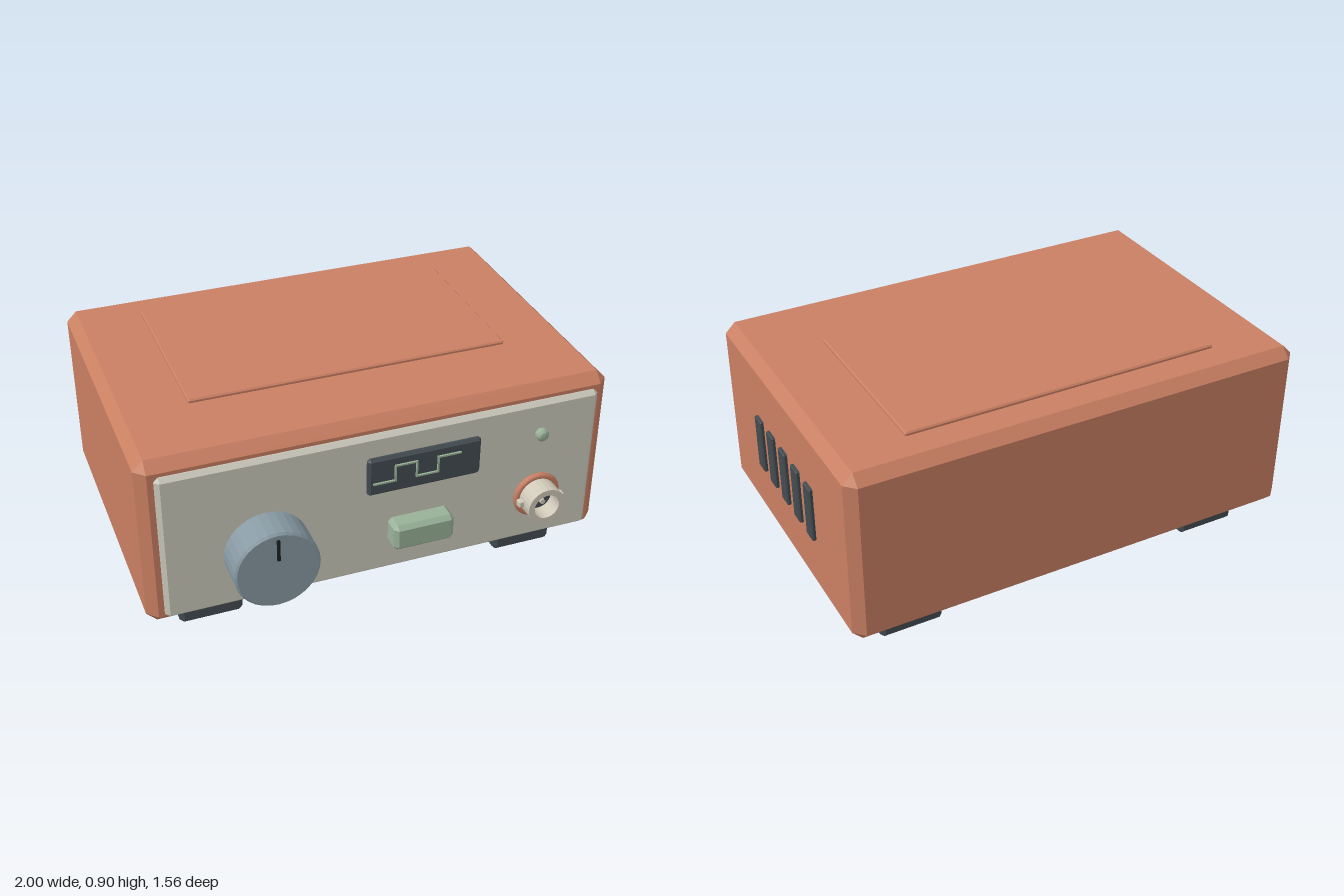
import * as THREE from 'three';
import { ConvexGeometry } from 'three/addons/geometries/ConvexGeometry.js';

const mat = (name, color, extra = {}) => {
  const m = new THREE.MeshStandardMaterial({ color, ...extra });
  m.name = name;
  return m;
};

// Box between two corners with every edge cut by a single chamfer c
function chamferBox([x0, y0, z0], [x1, y1, z1], c) {
  const pts = [];
  for (const [x, sx] of [[x0, 1], [x1, -1]])
    for (const [y, sy] of [[y0, 1], [y1, -1]])
      for (const [z, sz] of [[z0, 1], [z1, -1]]) {
        pts.push(new THREE.Vector3(x, y + sy * c, z + sz * c));
        pts.push(new THREE.Vector3(x + sx * c, y, z + sz * c));
        pts.push(new THREE.Vector3(x + sx * c, y + sy * c, z));
      }
  return new ConvexGeometry(pts);
}

// Faceted turned part along z; profile is a list of [radius, z]
function turned(profile, x, y, sides) {
  const g = new THREE.LatheGeometry(profile.map(([r, z]) => new THREE.Vector2(r, z)), sides);
  const flat = g.rotateX(Math.PI / 2).translate(x, y, 0).toNonIndexed();
  flat.computeVertexNormals();
  return flat;
}

export function createModel() {
  const model = new THREE.Group();
  model.name = 'benchInstrument';
  const copper = mat('copper', 0xc97f62);
  const cream = mat('cream', 0xcbc9bb);
  const dark = mat('charcoal', 0x434c51);
  const blue = mat('blueGrey', 0x8799a3);
  const green = mat('paleGreen', 0x99b198);
  const black = mat('black', 0x1c2023);
  const metal = mat('metal', 0xcfc8b8);

  const add = (name, geometry, material, parent = model) => {
    const mesh = new THREE.Mesh(geometry, material);
    mesh.name = name;
    parent.add(mesh);
    return mesh;
  };
  const box = (name, a, b, c, material, parent) => add(name, chamferBox(a, b, c), material, parent);

  // Case, lid plate and front panel
  box('case', [-1, 0.115, -0.78], [0.985, 0.885, 0.545], 0.043, copper);
  box('lidPlate', [-0.695, 0.88, -0.617], [0.68, 0.9, 0.177], 0.006, copper);
  box('frontPanel', [-0.935, 0.167, 0.54], [0.92, 0.835, 0.58], 0.018, cream);

  // Feet
  for (const x of [-0.85, 0.565])
    for (const z of [0.2, -0.665])
      box('foot', [x, 0, z], [x + 0.27, 0.115, z + 0.24], 0.018, dark);

  // Side vents
  for (let i = 0; i < 5; i++) {
    const z = 0.141 - i * 0.132;
    box('vent', [0.975, 0.38, z - 0.034], [1, 0.625, z + 0.034], 0.005, dark);
  }

  // Dial: shaft, knob and pointer
  const dial = new THREE.Group();
  dial.name = 'dial';
  model.add(dial);
  const kx = -0.525, ky = 0.443;
  add('dialShaft', turned([[0, 0.57], [0.056, 0.57], [0.056, 0.62], [0, 0.62]], kx, ky, 20), dark, dial);
  add('knob', turned([[0, 0.612], [0.165, 0.612], [0.174, 0.62], [0.174, 0.757], [0.165, 0.766], [0, 0.766]], kx, ky, 32), blue, dial);
  const pointer = add('pointer', new THREE.BoxGeometry(0.012, 0.095, 0.008), black, dial);
  pointer.position.set(kx, 0.547, 0.776);

  // Display with a square wave trace
  box('display', [-0.097, 0.567, 0.572], [0.39, 0.74, 0.603], 0.012, dark);
  const trace = new THREE.Group();
  trace.name = 'trace';
  model.add(trace);
  const wave = [[-0.073, 0.627], [0.017, 0.627], [0.017, 0.696], [0.108, 0.696],
    [0.108, 0.627], [0.2, 0.627], [0.2, 0.696], [0.294, 0.696]];
  for (let i = 1; i < wave.length; i++) {
    const [ax, ay] = wave[i - 1], [bx, by] = wave[i], w = 0.007;
    const seg = add('traceSegment', new THREE.BoxGeometry(bx - ax + w, Math.abs(by - ay) + w, 0.008), green, trace);
    seg.position.set((ax + bx) / 2, (ay + by) / 2, 0.607);
  }

  // Push button and indicator lamp
  box('button', [-0.005, 0.318, 0.575], [0.257, 0.438, 0.673], 0.018, green);
  add('lamp', turned([[0, 0.575], [0.027, 0.575], [0.027, 0.602], [0.018, 0.611], [0, 0.614]], 0.665, 0.686, 16), green);

  // Coaxial socket: ring, hollow barrel, core, pin and lugs
  const socket = new THREE.Group();
  socket.name = 'socket';
  model.add(socket);
  const sx = 0.665, sy = 0.388;
  const ring = add('socketRing', new THREE.TorusGeometry(0.09, 0.015, 8, 32), copper, socket);
  ring.position.set(sx, sy, 0.588);
  add('socketBarrel', turned([[0.083, 0.575], [0.083, 0.687], [0.056, 0.687], [0.056, 0.59]], sx, sy, 24), metal, socket);
  add('socketCore', turned([[0.056, 0.58], [0.056, 0.612], [0, 0.612]], sx, sy, 24), dark, socket);
  add('socketPin', turned([[0.012, 0.61], [0.012, 0.65], [0, 0.65]], sx, sy, 10), metal, socket);
  for (const s of [-1, 1]) {
    const x = sx + s * 0.088;
    box('socketLug', [x - 0.015, sy - 0.015, 0.61], [x + 0.015, sy + 0.015, 0.641], 0.004, metal, socket);
  }
  return model;
}
